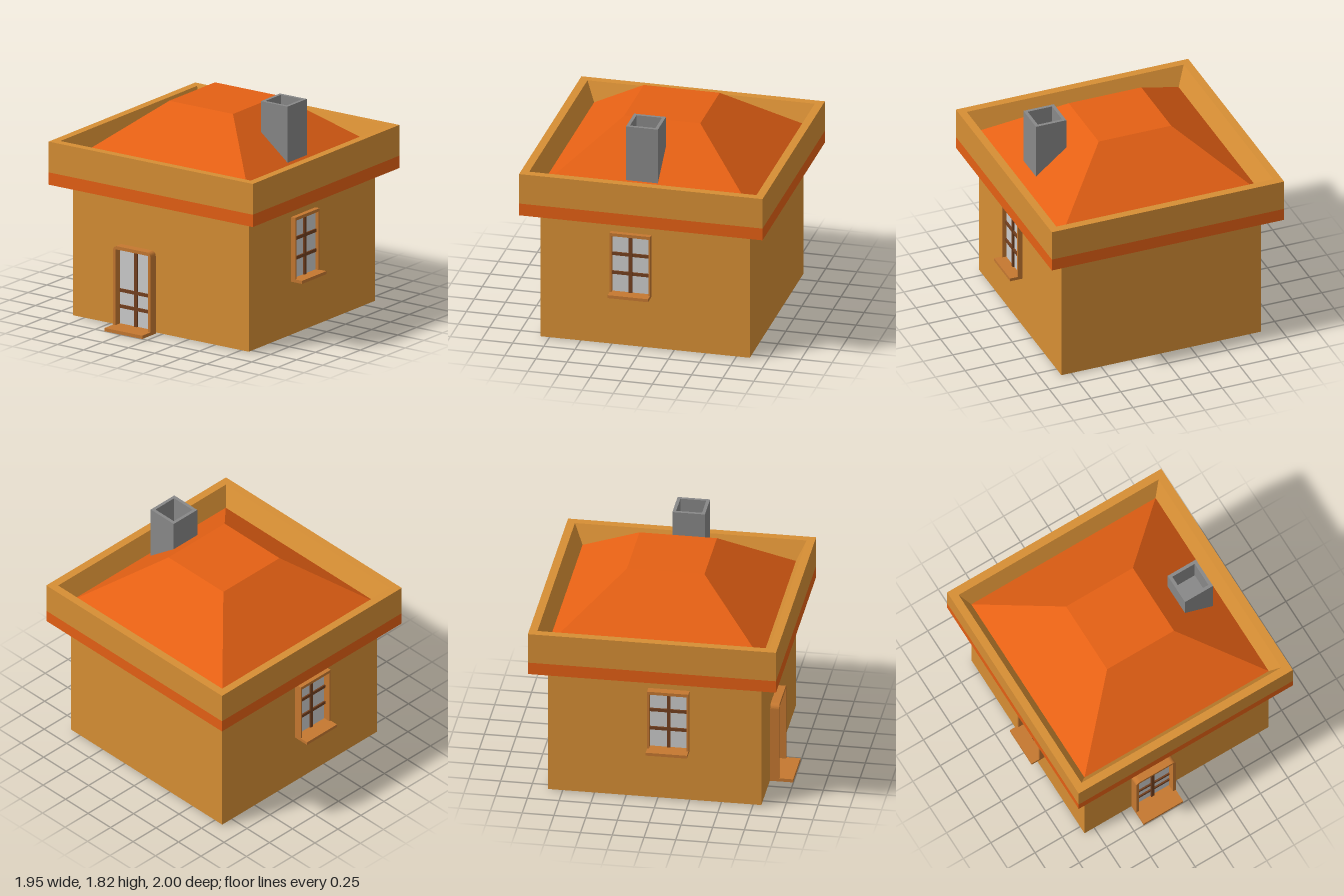
import * as THREE from 'three';

const mat = (color, extra = {}) => new THREE.MeshStandardMaterial({ color, ...extra });
const WALL = mat(0xd68e34, { flatShading: true });
const ROOF = mat(0xe46014, { flatShading: true });
const TRIM = mat(0xc57830);
const BAR = mat(0x74401f);
const GLASS = mat(0xcccccc);
const STONE = mat(0x888888, { flatShading: true });

function add(parent, name, geometry, material, x = 0, y = 0, z = 0) {
  const mesh = new THREE.Mesh(geometry, material);
  mesh.name = name;
  mesh.position.set(x, y, z);
  parent.add(mesh);
  return mesh;
}

// Square solid of revolution: profile of [half width, height]
function squareLathe(profile) {
  const pts = profile.map(([r, y]) => new THREE.Vector2(r * Math.SQRT2, y));
  return new THREE.LatheGeometry(pts, 4, Math.PI / 4).toNonIndexed();
}

// Rectangle with optionally rounded top corners, base at y0
function panel(path, w, y0, y1, r) {
  const h = w / 2;
  path.moveTo(-h, y0);
  path.lineTo(h, y0);
  path.lineTo(h, y1 - r);
  if (r) path.absarc(h - r, y1 - r, r, 0, Math.PI / 2, false);
  path.lineTo(-h + r, y1);
  if (r) path.absarc(-h + r, y1 - r, r, Math.PI / 2, Math.PI, false);
  path.lineTo(-h, y0);
  return path;
}

// Framed opening facing +z with its back against the wall
function opening(name, { w, h, depth, side, edge, round, rails, sill }) {
  const g = new THREE.Group();
  g.name = name;
  const shape = panel(new THREE.Shape(), w, 0, h, round);
  shape.holes.push(panel(new THREE.Path(), w - 2 * side, edge, h - edge, 0));
  add(g, 'frame', new THREE.ExtrudeGeometry(shape, { depth, bevelEnabled: false, curveSegments: 6 }), TRIM);
  const iw = w - 2 * side, ih = h - 2 * edge;
  add(g, 'glass', new THREE.BoxGeometry(iw, ih, 0.008), GLASS, 0, h / 2, 0.004);
  add(g, 'mullion', new THREE.BoxGeometry(0.028, ih, 0.022), BAR, 0, h / 2, 0.011);
  for (const y of rails) add(g, 'rail', new THREE.BoxGeometry(iw, rails.thick ?? 0.026, 0.02), BAR, 0, y, 0.01);
  add(g, 'sill', new THREE.BoxGeometry(w, edge, sill), TRIM, 0, edge / 2, depth + sill / 2);
  return g;
}

export function createModel() {
  const house = new THREE.Group();
  house.name = 'house';
  const cz = -0.0225;

  // Walls and the broad eave with its sloped parapet
  add(house, 'walls', new THREE.BoxGeometry(1.68, 1.08, 1.68), WALL, 0, 0.55, cz);
  add(house, 'eaveUnderside', squareLathe([[0.8, 1.08], [0.977, 1.08]]), WALL, 0, 0, cz);
  add(house, 'eaveBand', squareLathe([[0.977, 1.08], [0.977, 1.18]]), ROOF, 0, 0, cz);
  add(house, 'parapet', squareLathe([[0.977, 1.18], [0.977, 1.43], [0.912, 1.43], [0.84, 1.28]]), WALL, 0, 0, cz);

  // Hipped roof with a flat top
  add(house, 'roof', squareLathe([[0.842, 1.28], [0.305, 1.715], [0, 1.715]]), ROOF, 0, 0, cz);

  // Hollow chimney
  add(house, 'chimney',
    squareLathe([[0.128, 1.28], [0.128, 1.82], [0.102, 1.82], [0.102, 1.56], [0, 1.56]]),
    STONE, 0.61, 0, 0.03);

  // Front door with rounded head and doorstep
  const door = opening('door', {
    w: 0.36, h: 0.67, depth: 0.07, side: 0.025, edge: 0.027, round: 0.04,
    rails: [0.17, 0.3], sill: 0.11,
  });
  door.position.set(-0.23, 0, 0.8175);
  house.add(door);

  // A window on each side wall
  for (const [name, s, depth, sill] of [['leftWindow', 1, 0.04, 0.065], ['rightWindow', -1, 0.065, 0.07]]) {
    const win = opening(name, {
      w: 0.325, h: 0.525, depth, side: 0.014, edge: 0.025, round: 0,
      rails: [0.185, 0.345], sill,
    });
    win.rotation.y = s * Math.PI / 2;
    win.position.set(s * 0.84, 0.44, 0.09);
    house.add(win);
  }
  return house;
}
